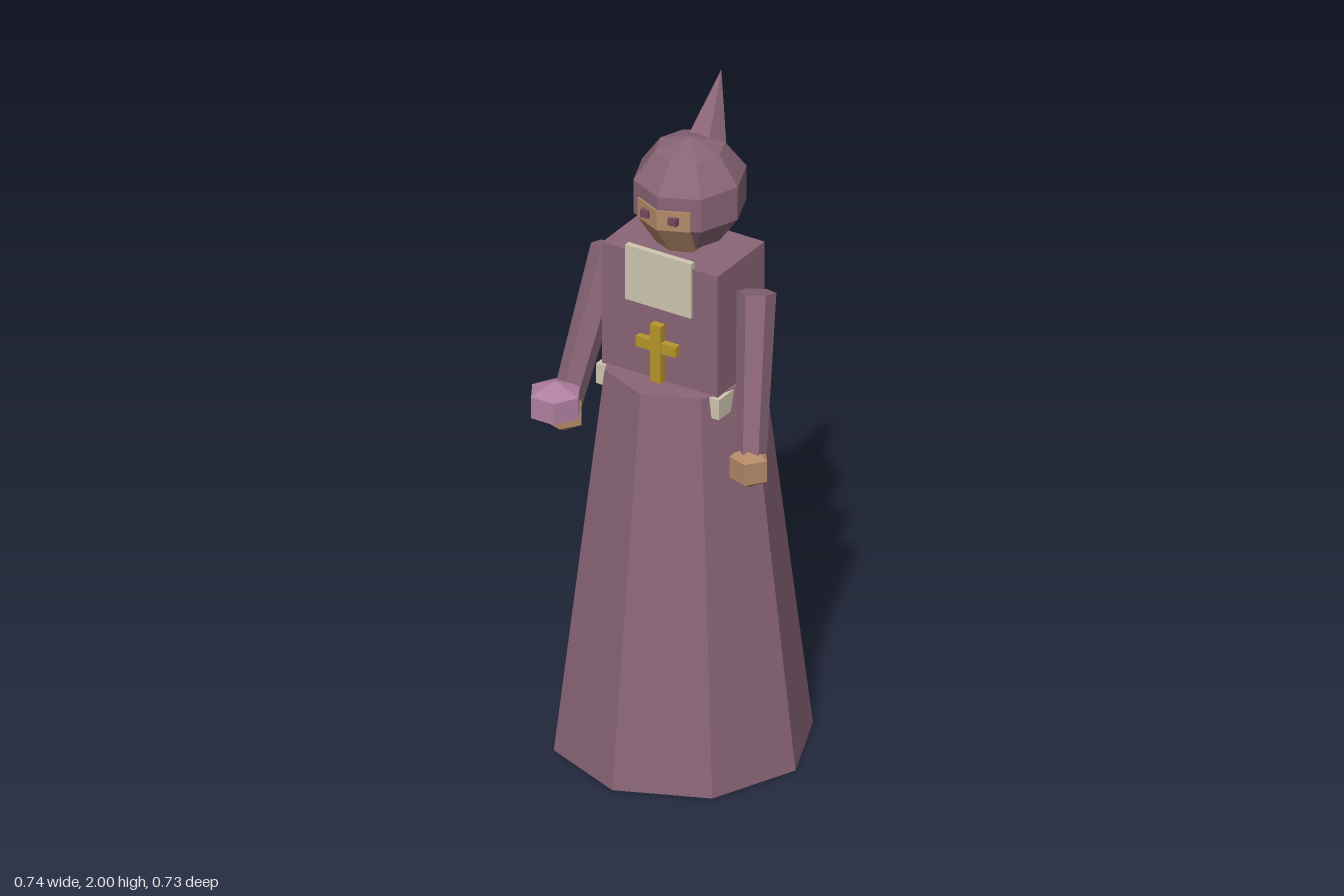
import * as THREE from 'three';
import { ConvexGeometry } from 'three/addons/geometries/ConvexGeometry.js';

export function createModel() {
  const model = new THREE.Group();
  model.name = 'robedFigure';

  const mat = (name, color) => {
    const m = new THREE.MeshStandardMaterial({ color, flatShading: true });
    m.name = name;
    return m;
  };
  const robe = mat('mauve robe', 0x8a6577);
  const cream = mat('cream cloth', 0xcfc6b0);
  const gold = mat('gold', 0xb8962b);
  const skin = mat('skin', 0xb48a68);
  const pink = mat('pink orb', 0xb080a0);
  const eye = mat('eye', 0x74485a);

  const add = (name, geometry, material, x = 0, y = 0, z = 0) => {
    const mesh = new THREE.Mesh(geometry, material);
    mesh.name = name;
    mesh.position.set(x, y, z);
    model.add(mesh);
    return mesh;
  };
  // Box given by its centre, with the lowest and highest y
  const box = (name, material, w, y0, y1, z0, z1, x = 0) =>
    add(name, new THREE.BoxGeometry(w, y1 - y0, z1 - z0), material, x, (y0 + y1) / 2, (z0 + z1) / 2);

  // Robe, belt and bib
  add('skirt', new THREE.CylinderGeometry(0.222, 0.365, 1.175, 8), robe, 0, 0.5875, 0);
  box('torso', robe, 0.376, 1.14, 1.55, -0.121, 0.121);
  box('belt', cream, 0.4, 1.11, 1.172, -0.132, 0.132);
  box('bib', cream, 0.214, 1.4, 1.57, 0.112, 0.13);

  // Cross pendant
  box('crossUpright', gold, 0.034, 1.175, 1.353, 0.12, 0.143);
  box('crossBar', gold, 0.13, 1.27, 1.302, 0.12, 0.142);

  // Hood with a spike leaning back
  const hood = add('hood', new THREE.SphereGeometry(0.165, 8, 5), robe, 0, 1.7, -0.034);
  hood.scale.set(0.99, 1, 1.06);
  const spikeLength = 0.24, lean = 0.4;
  const spikeGeometry = new THREE.ConeGeometry(0.07, spikeLength, 5);
  spikeGeometry.rotateY(Math.PI).translate(0, -spikeLength / 2, 0);
  add('hoodSpike', spikeGeometry, robe, 0, 2, -0.195).rotation.x = -lean;

  // Face: a ridge in the middle, tapering to the chin
  const facePoints = [];
  for (const [y, w, side, ridge] of [
    [1.71, 0.085, 0.101, 0.138], [1.65, 0.085, 0.101, 0.138], [1.555, 0.062, 0.045, 0.07],
  ]) {
    facePoints.push(
      new THREE.Vector3(-w, y, side), new THREE.Vector3(0, y, ridge), new THREE.Vector3(w, y, side),
      new THREE.Vector3(-w, y, 0), new THREE.Vector3(w, y, 0));
  }
  add('face', new ConvexGeometry(facePoints), skin);

  // Arms, hands and eyes
  for (const s of [-1, 1]) {
    const side = s > 0 ? 'left' : 'right';
    const shoulder = new THREE.Vector3(s * 0.238, 1.462, 0);
    const wrist = new THREE.Vector3(s * 0.302, 1.0, 0.13);
    const axis = shoulder.clone().sub(wrist);
    const arm = add(side + 'Arm', new THREE.CylinderGeometry(0.055, 0.042, axis.length(), 6), robe);
    arm.position.copy(shoulder).add(wrist).multiplyScalar(0.5);
    arm.quaternion.setFromUnitVectors(new THREE.Vector3(0, 1, 0), axis.normalize());

    const hand = add(side + 'Hand', new THREE.SphereGeometry(0.065, 5, 3), skin, s * 0.302, 0.998, 0.135);
    hand.rotation.y = Math.PI;

    box(side + 'Eye', eye, 0.026, 1.672, 1.694, 0.1, 0.131, s * 0.045);
  }

  // Orb held in the right hand
  add('orb', new THREE.SphereGeometry(0.087, 6, 3), pink, -0.298, 1.048, 0.187).scale.y = 0.76;

  return model;
}
